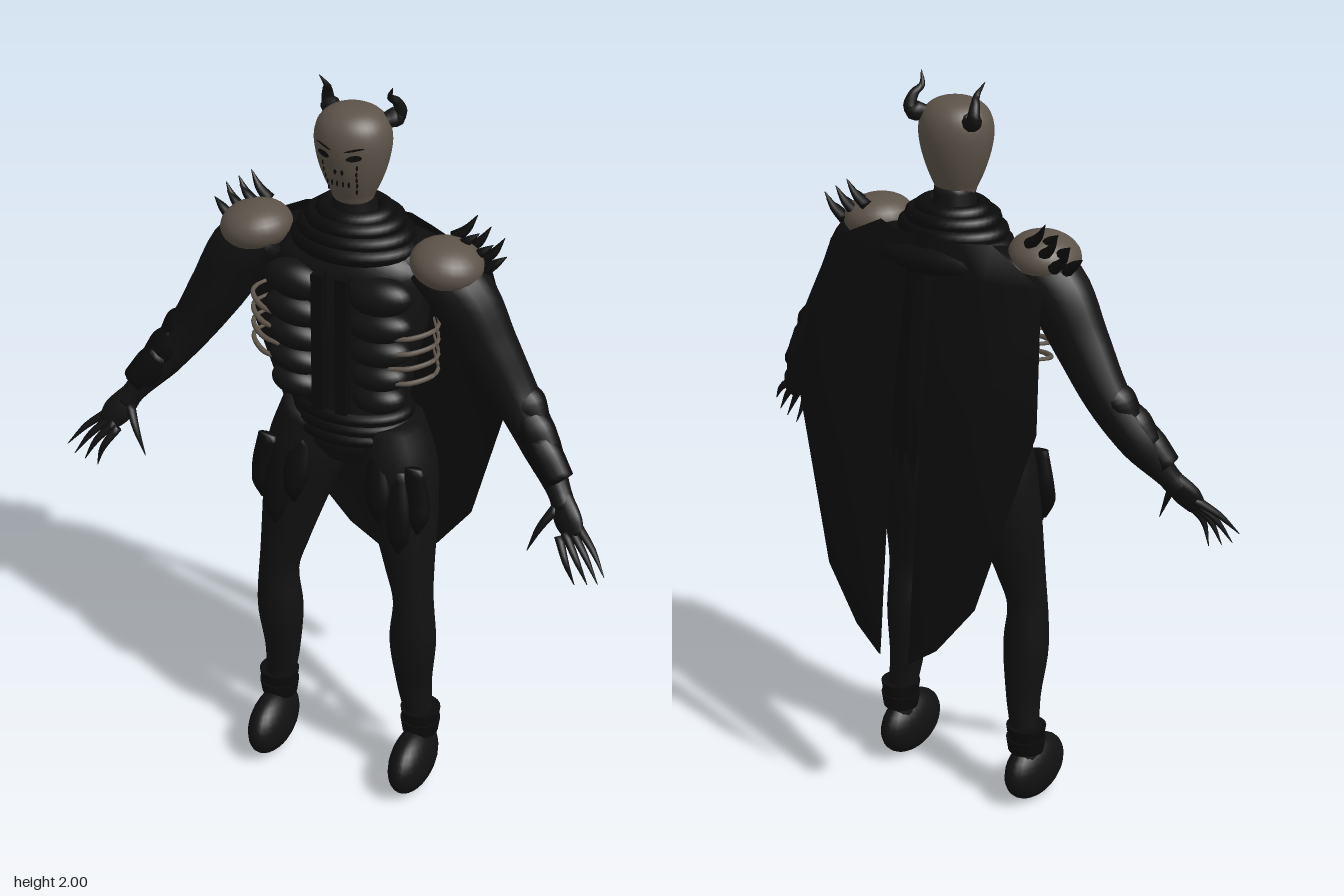
import * as THREE from 'three';

const mat = (name, color) => Object.assign(new THREE.MeshStandardMaterial({ color }), { name });

export function createModel() {
  const root = new THREE.Group();
  root.name = 'hornedWarrior';
  const black = mat('black cloth', 0x111111);
  const dark = mat('black leather', 0x0b0b0b);
  const bone = mat('grey bone', 0x5c5349);
  const cloak = mat('cloak black', 0x0d0d0d);
  cloak.side = THREE.DoubleSide;

  const add = (name, geo, m) => {
    const mesh = new THREE.Mesh(geo, m);
    mesh.name = name;
    root.add(mesh);
    return mesh;
  };
  const ball = (name, m, [x, y, z], [rx, ry, rz], tilt = 0) => {
    const mesh = add(name, new THREE.SphereGeometry(1, 24, 16), m);
    mesh.position.set(x, y, z);
    mesh.scale.set(rx, ry, rz);
    mesh.rotation.z = tilt;
  };
  const ring = (name, m, y, z, rx, rz, tube) => {
    const geo = new THREE.TorusGeometry(1, tube / rx, 10, 36).rotateX(Math.PI / 2);
    geo.scale(rx, rx, rz);
    add(name, geo, m).position.set(0, y, z);
  };

  // Smooth closed limb through sections [x, y, z, halfWidth, halfDepth]
  const limb = (name, m, pts, s = 1, sides = 16, per = 5) => {
    const path = new THREE.CatmullRomCurve3(pts.map(p => new THREE.Vector3(p[0] * s, p[1], p[2])));
    const size = new THREE.CatmullRomCurve3(pts.map(p => new THREE.Vector3(p[3], p[4], 0)));
    const n = (pts.length - 1) * per, pos = [], idx = [];
    for (let i = 0; i <= n; i++) {
      const c = path.getPoint(i / n), r = size.getPoint(i / n), t = path.getTangent(i / n);
      const u = new THREE.Vector3(0, 0, 1);
      if (Math.abs(t.z) > 0.9) u.set(0, 1, 0);
      const side = new THREE.Vector3().crossVectors(t, u).normalize();
      const up = new THREE.Vector3().crossVectors(t, side);
      for (let j = 0; j < sides; j++) {
        const a = j / sides * Math.PI * 2;
        const p = c.clone().addScaledVector(side, Math.max(r.x, 0.0005) * Math.cos(a))
          .addScaledVector(up, Math.max(r.y, 0.0005) * Math.sin(a));
        pos.push(p.x, p.y, p.z);
        if (i < n) {
          const k = (j + 1) % sides, A = i * sides + j, B = i * sides + k;
          idx.push(A, B, A + sides, B, B + sides, A + sides);
        }
      }
    }
    const last = n * sides;
    for (let j = 1; j < sides - 1; j++) idx.push(0, j + 1, j, last, last + j, last + j + 1);
    const geo = new THREE.BufferGeometry();
    geo.setAttribute('position', new THREE.Float32BufferAttribute(pos, 3));
    geo.setIndex(idx);
    geo.computeVertexNormals();
    return add(name, geo, m);
  };
  const spike = (name, m, a, mid, b, r, s) =>
    limb(name, m, [[...a, r, r], [...mid, r * 0.7, r * 0.7], [...b, 0.001, 0.001]], s, 8, 4);

  // Open sheet from rows of points
  const sheet = (name, rows) => {
    const w = rows[0].length, idx = [];
    for (let i = 0; i < rows.length - 1; i++) for (let j = 0; j < w - 1; j++) {
      const a = i * w + j;
      idx.push(a, a + w, a + 1, a + 1, a + w, a + w + 1);
    }
    const geo = new THREE.BufferGeometry();
    geo.setAttribute('position', new THREE.Float32BufferAttribute(rows.flat(2), 3));
    geo.setIndex(idx);
    geo.computeVertexNormals();
    add(name, geo, cloak);
  };

  // Head mask and neck
  const profile = [[0, 1.695], [0.045, 1.7], [0.056, 1.72], [0.074, 1.76], [0.09, 1.81], [0.097, 1.86],
    [0.09, 1.9], [0.07, 1.926], [0.04, 1.941], [0, 1.946]].map(p => new THREE.Vector2(...p));
  const headCurve = new THREE.SplineCurve(profile).getPoints(40);
  headCurve.forEach(p => { p.x = Math.max(p.x, 0); });
  const head = add('head', new THREE.LatheGeometry(headCurve, 32), bone);
  head.scale.z = 0.92;
  head.position.z = 0.042;
  limb('neck', black, [[0, 1.72, 0.035, 0.052, 0.05], [0, 1.66, 0.035, 0.06, 0.058], [0, 1.58, 0.035, 0.09, 0.08]]);

  // Face markings laid on the head surface
  const faceZ = (x, y) => {
    const i = headCurve.findIndex(p => p.y >= y && p.x > 0.03);
    const r = headCurve[i].x;
    return 0.042 + 0.92 * Math.sqrt(Math.max(r * r - x * x, 0));
  };
  const mark = (name, s, x, y, w, h, tilt = 0) => {
    const mesh = add(name, new THREE.CircleGeometry(1, 12), dark);
    mesh.scale.set(w, h, 1);
    mesh.position.set(x * s, y, faceZ(x, y) + 0.004);
    mesh.rotation.set(0, Math.asin(Math.min(x / 0.1, 1)) * s, tilt * s, 'YXZ');
  };

  for (const s of [-1, 1]) {
    mark('eye', s, 0.04, 1.847, 0.02, 0.008, 0.12);
    mark('browLine', s, 0.04, 1.868, 0.026, 0.003, 0.2);
    mark('nostril', s, 0.009, 1.805, 0.004, 0.007);
    for (let i = 0; i < 5; i++) mark('cheekStitch', s, 0.045 - i * 0.002, 1.82 - i * 0.018, 0.003, 0.007);
    for (let i = 0; i < 2; i++) mark('mouthStitch', s, 0.008 + i * 0.014, 1.77, 0.003, 0.008);

    // Crooked horns
    limb('horn', black, [[0.06, 1.9, 0.015, 0.017, 0.017], [0.095, 1.915, -0.02, 0.017, 0.017],
      [0.092, 1.95, -0.008, 0.012, 0.012], [0.083, 1.968, 0.012, 0.008, 0.008], [0.096, 2.0, 0.028, 0.001, 0.001]], s, 10);

    // Shoulder caps with feather spikes
    ball('shoulderCap', bone, [s * 0.257, 1.583, 0.06], [0.092, 0.06, 0.092], s * -0.12);
    for (let i = 0; i < 6; i++) {
      const x = 0.25 + i * 0.018, y = 1.625 - i * 0.012, z = 0.0 + (i % 2) * 0.03;
      spike('shoulderSpike', dark, [x, y, z], [x + 0.03, y + 0.025, z - 0.005],
        [x + 0.055, y + 0.065 - (i % 2) * 0.02, z - 0.012], 0.016, s);
    }

    // Arm, forearm plates and clawed hand
    limb('arm', black, [[0.2, 1.57, 0.05, 0.05, 0.07], [0.29, 1.51, 0.055, 0.085, 0.08], [0.37, 1.38, 0.058, 0.075, 0.066],
      [0.45, 1.25, 0.06, 0.06, 0.055], [0.53, 1.14, 0.085, 0.05, 0.048], [0.595, 1.05, 0.125, 0.03, 0.03],
      [0.615, 1.02, 0.14, 0.03, 0.027]], s);
    for (let i = 0; i < 3; i++) {
      const x = 0.47 + i * 0.04, y = 1.24 - i * 0.055, z = 0.055 + i * 0.022;
      limb('forearmPlate', dark, [[x - 0.03, y + 0.045, z, 0.035, 0.035], [x, y, z + 0.008, 0.058 - i * 0.006, 0.05 - i * 0.005],
        [x + 0.04, y - 0.05, z + 0.02, 0.04, 0.035]], s, 12, 4);
    }
    limb('hand', black, [[0.595, 1.05, 0.125, 0.028, 0.024], [0.63, 1.0, 0.155, 0.038, 0.022], [0.655, 0.965, 0.17, 0.028, 0.014]], s);
    [[0.752, 0.9], [0.735, 0.872], [0.707, 0.86], [0.672, 0.848]].forEach(([x, y], i) => {
      const bx = 0.657 - i * 0.013, by = 0.99 - i * 0.009, bz = 0.158 + i * 0.008;
      spike('finger', black, [bx, by, bz], [(bx + x) / 2 + 0.004, (by + y) / 2 + 0.006, bz + 0.03],
        [x, y, 0.218 - i * 0.004], 0.012, s);
    });
    spike('thumb', black, [0.595, 1.02, 0.15], [0.565, 0.97, 0.178], [0.537, 0.9, 0.185], 0.013, s);

    // Chest armour and front straps
    [[1.495, 0.086, 0.05], [1.415, 0.086, 0.044], [1.345, 0.082, 0.042], [1.275, 0.076, 0.04], [1.21, 0.07, 0.04]]
      .forEach(([y, w, h]) => ball('chestPlate', black, [s * 0.112, y, 0.135], [w, h, 0.05], s * 0.12));
    add('frontStrap', new THREE.BoxGeometry(0.03, 0.38, 0.03), dark).position.set(s * 0.032, 1.36, 0.178);

    // Exposed ribs
    for (let i = 0; i < 4; i++) {
      const y = 1.275 + i * 0.042;
      limb('rib', bone, [[0.15, y, 0.165, 0.005, 0.005], [0.205, y + 0.006, 0.15, 0.007, 0.007],
        [0.25, y + 0.02, 0.1, 0.006, 0.006], [0.2, y + 0.03, 0.0, 0.003, 0.003]], s, 8);
    }

    // Leg, ankle cuff, foot and thigh guards
    limb('leg', black, [[0.1, 1.1, 0.045, 0.09, 0.09], [0.125, 0.98, 0.05, 0.105, 0.103], [0.15, 0.86, 0.062, 0.092, 0.092],
      [0.178, 0.7, 0.085, 0.066, 0.068], [0.195, 0.59, 0.096, 0.053, 0.056], [0.194, 0.47, 0.094, 0.062, 0.06],
      [0.195, 0.32, 0.083, 0.048, 0.046], [0.205, 0.22, 0.077, 0.04, 0.04], [0.21, 0.12, 0.075, 0.04, 0.04]], s);
    for (const y of [0.18, 0.215]) {
      const cuff = add('ankleCuff', new THREE.CylinderGeometry(0.054, 0.048, 0.04, 20), dark);
      cuff.position.set(s * 0.211, y, 0.075);
    }
    ball('foot', black, [s * 0.21, 0.088, 0.118], [0.055, 0.088, 0.118]);
    [[0.115, 1.04, 0.85], [0.17, 1.0, 0.77], [0.215, 1.02, 0.83]].forEach(([x, y0, y1], i) =>
      limb('thighGuard', dark, [[x - 0.01, y0, 0.13, 0.025, 0.012], [x, (y0 + y1) / 2, 0.148 - (i === 2) * 0.02, 0.036, 0.02],
        [x + 0.005, y1 + 0.05, 0.155 - (i === 2) * 0.02, 0.03, 0.02], [x + 0.005, y1, 0.155 - (i === 2) * 0.02, 0.004, 0.004]], s, 10));

    // Split cape half: [y, inner x, inner z, outer x, outer z]
    const rows = [[1.62, 0.03, -0.085, 0.17, -0.045], [1.54, 0.04, -0.11, 0.325, -0.055], [1.2, 0.045, -0.165, 0.378, -0.145],
      [0.7, 0.045, -0.212, 0.235, -0.2], [0.56, 0.045, -0.224, 0.13, -0.22], [0.5, 0.045, -0.23, 0.05, -0.23]];
    sheet('capeHalf', rows.map(([y, xi, zi, xo, zo]) => [0, 0.5, 1].map(f =>
      [s * (xi + (xo - xi) * f), y, zi + (zo - zi) * f - 0.02 * Math.sin(f * Math.PI) * (y > 0.6 ? 1 : 0)])));
  }

  // Torso, shoulder mantle, collar and belt
  limb('torso', black, [[0, 1.6, 0.035, 0.13, 0.085], [0, 1.53, 0.04, 0.205, 0.11], [0, 1.4, 0.045, 0.2, 0.115],
    [0, 1.25, 0.045, 0.165, 0.105], [0, 1.12, 0.045, 0.15, 0.1], [0, 1.04, 0.045, 0.16, 0.1], [0, 0.98, 0.045, 0.09, 0.07]], 1, 28);
  ball('shoulderMantle', cloak, [0, 1.555, -0.005], [0.25, 0.06, 0.115]);
  [[1.665, 0.08, 0.07], [1.645, 0.108, 0.09], [1.615, 0.13, 0.1], [1.585, 0.145, 0.11]].forEach(([y, rx, rz]) =>
    ring('collarFold', dark, y, 0.03, rx, rz, 0.022));
  [1.07, 1.1, 1.13].forEach(y => ring('belt', dark, y, 0.045, 0.148, 0.104, 0.018));

  // Ragged back drape made of hanging strips
  for (let i = 0; i < 9; i++) {
    const at = (k, r, y) => {
      const a = (k - 4.5) / 4.5 * 1.35;
      return [r * Math.sin(a), y, -0.02 - r * 0.95 * Math.cos(a)];
    };
    const tip = 0.99 + (i * 5 % 4) * 0.012;
    sheet('backDrape', [[at(i, 0.075, 1.62), at(i + 1, 0.075, 1.62)], [at(i, 0.115, 1.4), at(i + 1, 0.115, 1.4)],
      [at(i, 0.135, 1.06), at(i + 1, 0.135, 1.06)], [at(i + 0.4, 0.135, tip), at(i + 0.6, 0.135, tip)]]);
  }
  return root;
}
